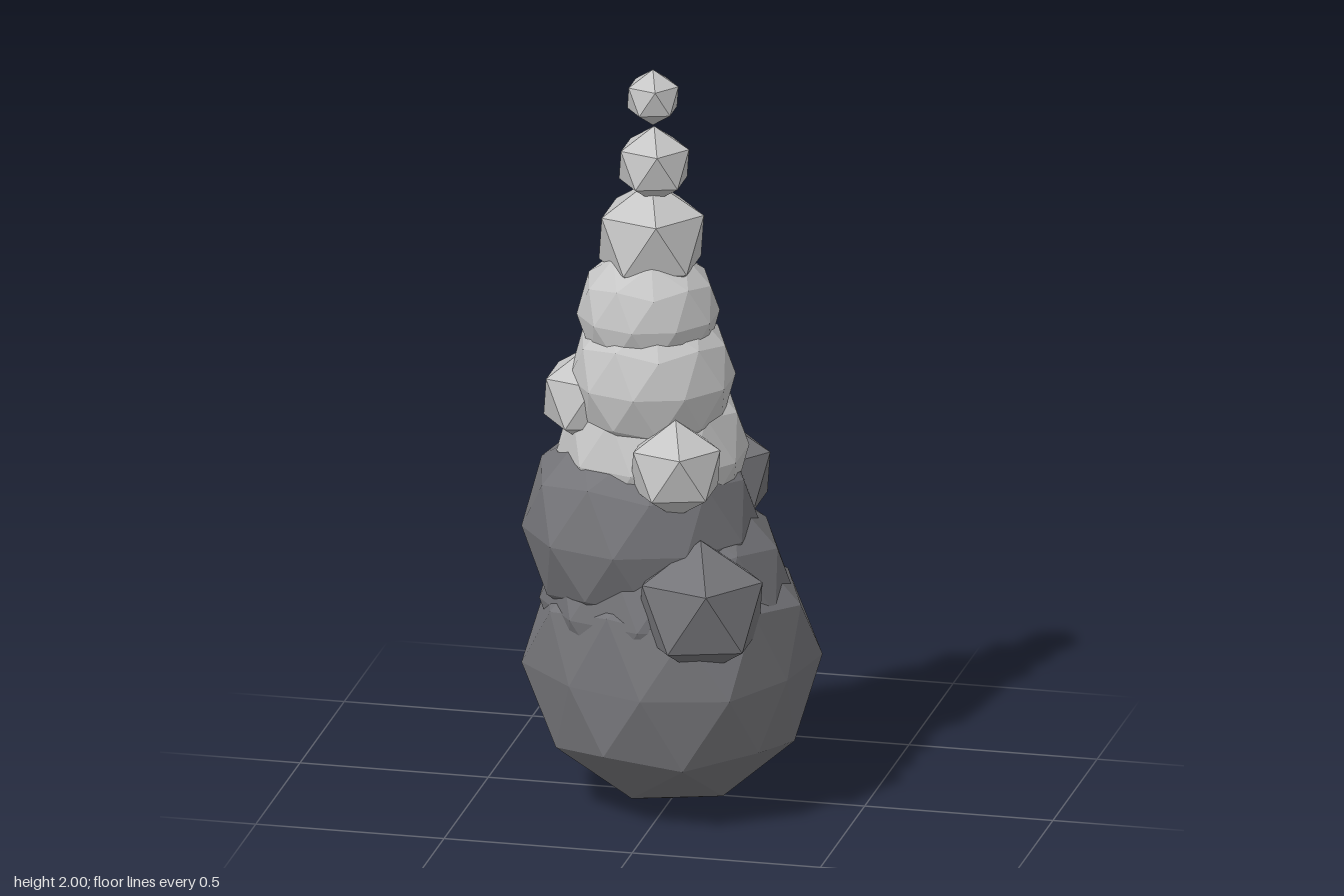
import * as THREE from 'three';

// Column of faceted smoke puffs, wide and dark below, small and pale above
export function createModel() {
  const group = new THREE.Group();
  group.name = 'smokePlume';

  const darkSmoke = new THREE.MeshStandardMaterial({ color: 0x757579, flatShading: true });
  darkSmoke.name = 'dark smoke';
  const paleSmoke = new THREE.MeshStandardMaterial({ color: 0xc6c6c6, flatShading: true });
  paleSmoke.name = 'pale smoke';

  // Faceted ball turned so that one corner points straight up
  const tilt = -Math.atan(2 / (1 + Math.sqrt(5)));
  function puff(name, material, detail, radius, x, y, z) {
    const geometry = new THREE.IcosahedronGeometry(radius, detail);
    geometry.rotateZ(tilt);
    const mesh = new THREE.Mesh(geometry, material);
    mesh.name = name;
    mesh.position.set(x, y, z);
    group.add(mesh);
    return mesh;
  }

  // Scales the ten corners around a puff's waist in or out, one factor each
  function dentWaist(mesh, factors) {
    const points = mesh.geometry.attributes.position;
    for (let i = 0; i < points.count; i++) {
      if (Math.abs(points.getY(i)) > 0.01) continue;
      const angle = Math.atan2(points.getZ(i), points.getX(i));
      const k = (Math.round((angle - Math.PI / 10) / (Math.PI / 5)) + 10) % 10;
      points.setX(i, points.getX(i) * factors[k]);
      points.setZ(i, points.getZ(i) * factors[k]);
    }
    mesh.geometry.computeVertexNormals();
  }

  // Main column, bottom to top
  const base = puff('basePuff', darkSmoke, 1, 0.383, 0, 0.386, 0.05);
  dentWaist(base, [0.91, 1, 0.95, 0.92, 1.02, 0.9, 0.98, 0.96, 1, 1.02]);
  puff('lowerPuff', darkSmoke, 1, 0.33, -0.015, 0.56, 0.05);
  puff('middlePuff', darkSmoke, 1, 0.308, -0.08, 0.757, 0.07);
  puff('shoulderPuff', paleSmoke, 1, 0.25, -0.05, 0.96, 0.053);
  puff('neckPuff', paleSmoke, 1, 0.217, -0.042, 1.17, 0.095);
  puff('upperPuff', paleSmoke, 1, 0.186, -0.055, 1.34, 0.085);
  puff('crownPuff', paleSmoke, 0, 0.156, -0.05, 1.54, 0.07);
  puff('smallPuff', paleSmoke, 0, 0.104, -0.043, 1.74, 0.07);
  puff('tipPuff', paleSmoke, 0, 0.076, -0.045, 1.924, 0.075);

  // Side puffs budding from the column
  puff('frontDarkBud', darkSmoke, 0, 0.184, 0.13, 0.61, 0.28);
  puff('backDarkBud', darkSmoke, 0, 0.217, -0.008, 0.43, -0.25);
  puff('leftDarkBud', darkSmoke, 0, 0.153, 0.085, 0.842, -0.117);
  puff('frontPaleBud', paleSmoke, 0, 0.133, 0.06, 0.98, 0.265);
  puff('rightPaleBud', paleSmoke, 0, 0.135, -0.205, 1.11, 0.115);

  return group;
}
